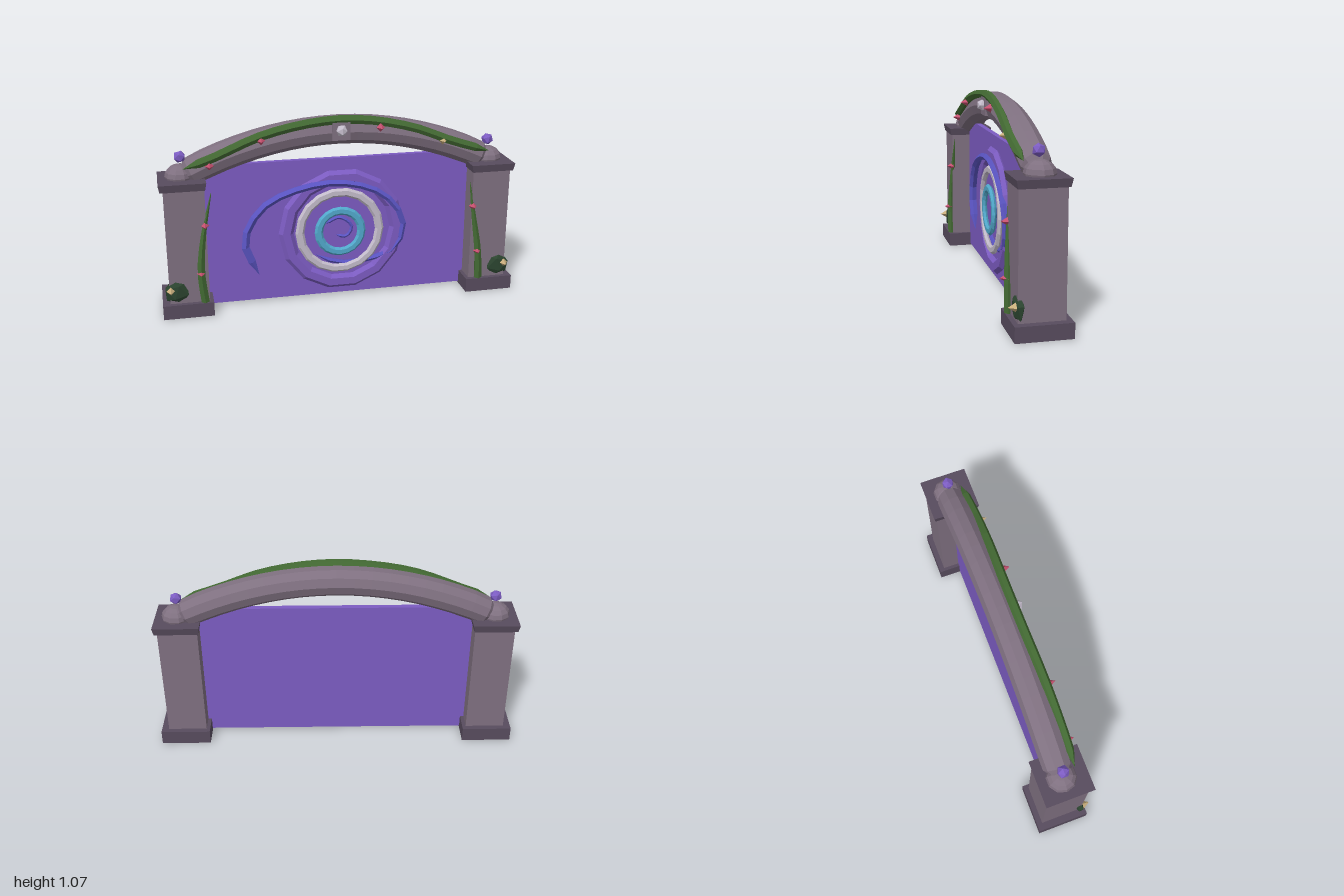
import * as THREE from 'three';

const mat = (name, color) => {
  const m = new THREE.MeshStandardMaterial({ color, flatShading: true });
  m.name = name;
  return m;
};

export function createModel() {
  const stone = mat('stone', 0x7f7080);
  const darkStone = mat('dark stone', 0x584c5e);
  const violet = mat('portal violet', 0x7c5cc2);
  const blue = mat('swirl blue', 0x5c56c6);
  const pale = mat('pale ring', 0xc4bccb);
  const cyan = mat('cyan ring', 0x52a9cc);
  const vineGreen = mat('vine green', 0x436a33);
  const leafGreen = mat('dark leaf', 0x2c4530);
  const pink = mat('pink thorn', 0xc4506f);
  const tan = mat('tan thorn', 0xc9ae7c);

  const root = new THREE.Group();
  root.name = 'portalGate';
  const add = (name, geo, material, x = 0, y = 0, z = 0) => {
    const m = new THREE.Mesh(geo, material);
    m.name = name;
    m.position.set(x, y, z);
    root.add(m);
    return m;
  };

  // Tube through points whose radius follows a rule of t
  const taperedTube = (points, radius, rule, segments, sides) => {
    const curve = new THREE.CatmullRomCurve3(points.map(p => new THREE.Vector3(...p)));
    const geo = new THREE.TubeGeometry(curve, segments, radius, sides);
    const pos = geo.attributes.position;
    const v = new THREE.Vector3();
    for (let i = 0; i <= segments; i++) {
      const c = curve.getPointAt(i / segments);
      const s = rule(i / segments);
      for (let j = 0; j <= sides; j++) {
        const k = i * (sides + 1) + j;
        v.fromBufferAttribute(pos, k).sub(c).multiplyScalar(s).add(c);
        pos.setXYZ(k, v.x, v.y, v.z);
      }
    }
    geo.computeVertexNormals();
    return geo;
  };
  const roundEnds = t => Math.sqrt(Math.max(0, 1 - Math.pow(Math.abs(2 * t - 1), 24)));

  // Forward-pointing thorn
  const thorn = (x, y, z, material) => {
    const m = add('thorn', new THREE.ConeGeometry(0.024, 0.04, 4), material, x, y, z);
    m.rotation.x = Math.PI / 2;
  };

  // Pillars with their plinths, capitals, crystals and bushes
  for (const s of [-1, 1]) {
    add('pillarBase', new THREE.BoxGeometry(0.275, 0.08, 0.29), darkStone, s * 0.8625, 0.04, -0.01);
    add('pillarShaft', new THREE.BoxGeometry(0.215, 0.65, 0.235), stone, s * 0.8525, 0.4, -0.0075);

    // Capital flares upward
    const cap = new THREE.BoxGeometry(0.25, 0.042, 0.265);
    const p = cap.attributes.position;
    for (let i = 0; i < p.count; i++)
      if (p.getY(i) < 0) p.setXYZ(i, p.getX(i) * 0.94, p.getY(i), p.getZ(i) * 0.94);
    cap.computeVertexNormals();
    add('pillarCapital', cap, darkStone, s * 0.858, 0.74, -0.008);

    const foot = add('archFoot', new THREE.SphereGeometry(0.08, 10, 8), stone, s * 0.865, 0.77, -0.015);
    foot.scale.set(1, 0.8, 1);
    const gem = add('crystal', new THREE.IcosahedronGeometry(0.034), violet, s * 0.86, 0.875, -0.01);
    gem.rotation.z = s * -0.25;

    const bush = add('leafClump', new THREE.IcosahedronGeometry(0.08, 0), leafGreen, s * 0.92, 0.148, 0.1);
    bush.scale.set(0.95, 0.95, 0.35);
    bush.rotation.z = s * 0.3;
    thorn(s * 0.953, 0.16, 0.138, tan);

    // Climbing vine narrows toward its tip
    const vine = s < 0
      ? [[-0.77, 0.08, 0.115], [-0.785, 0.25, 0.115], [-0.765, 0.45, 0.108], [-0.71, 0.7, 0.1]]
      : [[0.80, 0.08, 0.115], [0.79, 0.25, 0.115], [0.76, 0.45, 0.108], [0.73, 0.66, 0.1]];
    add('pillarVine', taperedTube(vine, 0.023, t => 1 - 0.93 * t * t, 8, 5), vineGreen);
    thorn(s * 0.752, 0.52, 0.125, pink);
    thorn(s * 0.785, 0.25, 0.137, pink);
  }

  // Stone arch
  const archPoints = [];
  for (let i = -4; i <= 4; i++) {
    const x = i * 0.2225;
    archPoints.push([x, 0.978 - 0.285 * x * x, -0.015]);
  }
  add('arch', taperedTube(archPoints, 0.08, roundEnds, 20, 10), stone);
  add('keystone', new THREE.BoxGeometry(0.1, 0.1, 0.05), stone, 0, 0.985, 0.043);
  add('keystoneGem', new THREE.IcosahedronGeometry(0.033), pale, 0, 0.99, 0.072);

  // Vine draped over the arch front
  add('archVine', taperedTube([
    [-0.85, 0.825, 0.06], [-0.7, 0.875, 0.065], [-0.42, 0.985, 0.06], [-0.12, 1.04, 0.05],
    [0.12, 1.04, 0.05], [0.4, 0.985, 0.06], [0.62, 0.9, 0.065], [0.85, 0.825, 0.06],
  ], 0.025, roundEnds, 20, 6), vineGreen);
  thorn(-0.71, 0.838, 0.09, pink);
  thorn(-0.435, 0.96, 0.092, pink);
  thorn(0.215, 0.997, 0.092, pink);
  thorn(0.57, 0.905, 0.092, tan);

  // Portal sheet, clipped beneath the arch shoulders
  const sheet = new THREE.Shape([
    [-0.75, 0.01], [0.75, 0.01], [0.75, 0.77], [0.56, 0.818], [-0.56, 0.818], [-0.75, 0.77],
  ].map(q => new THREE.Vector2(...q)));
  add('portalSheet', new THREE.ExtrudeGeometry(sheet, { depth: 0.03, bevelEnabled: false }), violet, 0, 0, -0.03);

  // Concentric rings
  const ring = (name, r, tube, sides, material, x, z) => {
    const m = add(name, new THREE.TorusGeometry(r, tube, 6, sides), material, x, 0.4, z);
    m.scale.z = 0.6;
  };
  ring('outerRing', 0.318, 0.042, 14, violet, 0.015, 0.01);
  ring('paleRing', 0.228, 0.025, 18, pale, 0, 0.025);
  ring('cyanRing', 0.122, 0.024, 20, cyan, 0, 0.035);

  // Swirling streamer and its inner curl
  add('swirl', taperedTube([
    [-0.46, 0.17, 0.02], [-0.535, 0.38, 0.02], [-0.43, 0.57, 0.025], [-0.22, 0.665, 0.03],
    [0.02, 0.685, 0.035], [0.25, 0.6, 0.035], [0.365, 0.43, 0.03], [0.32, 0.27, 0.02],
    [0.17, 0.21, 0.01], [0, 0.2, 0.005], [-0.14, 0.26, 0.005],
  ], 0.024, t => roundEnds(t) * (1 - 0.4 * t), 22, 5), blue);
  add('innerCurl', taperedTube([
    [-0.08, 0.44, 0.005], [0, 0.475, 0.01], [0.07, 0.42, 0.012], [0.04, 0.36, 0.01], [-0.02, 0.37, 0.005],
  ], 0.01, roundEnds, 12, 5), blue);

  return root;
}
